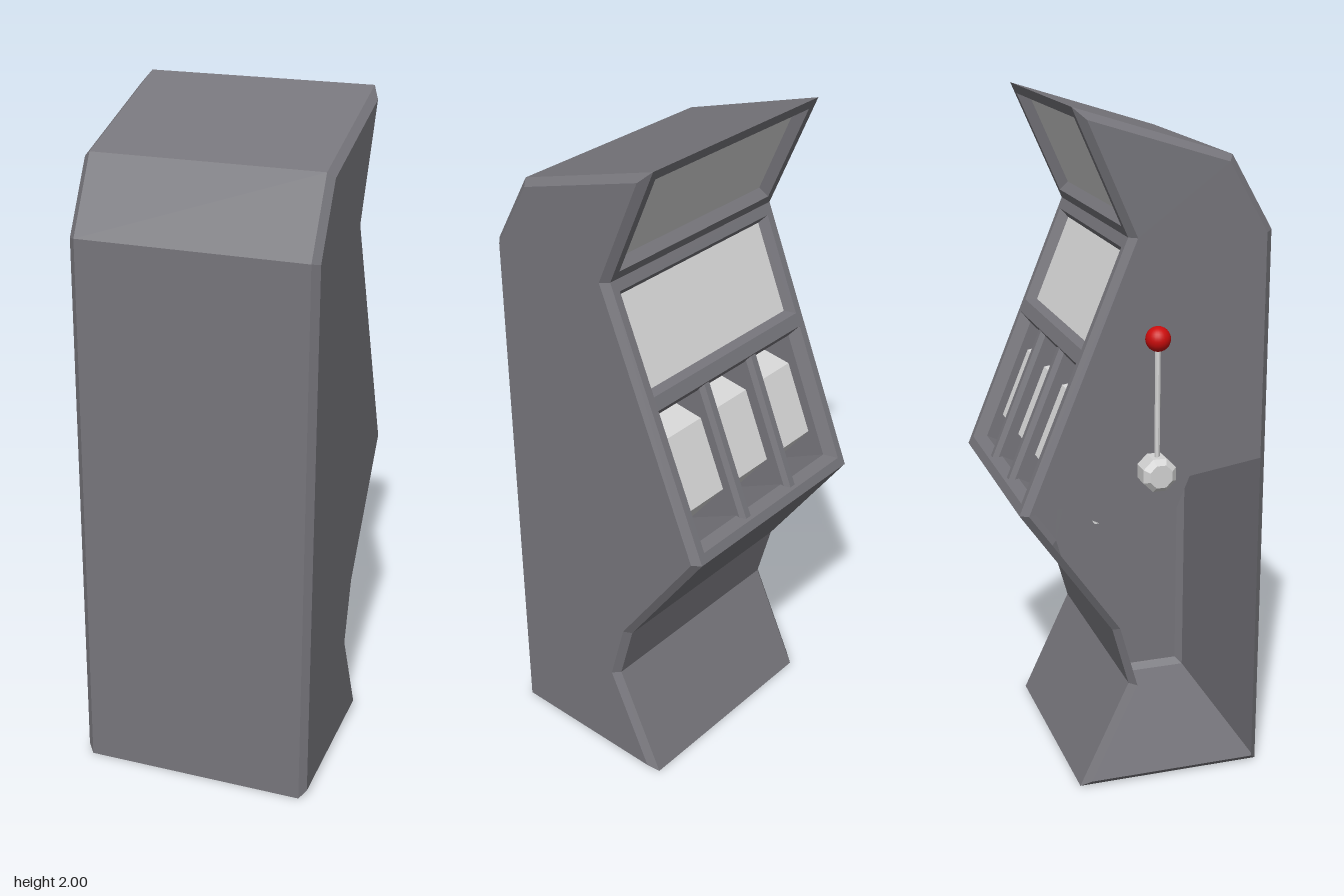
import * as THREE from 'three';

const body = new THREE.MeshStandardMaterial({ name: 'cabinet grey', color: 0x77767c, flatShading: true, side: THREE.DoubleSide });
const pale = new THREE.MeshStandardMaterial({ name: 'pale panel', color: 0xd9d9d9, flatShading: true });
const metal = new THREE.MeshStandardMaterial({ name: 'lever metal', color: 0xd4d4d4, flatShading: true });
const red = new THREE.MeshStandardMaterial({ name: 'knob red', color: 0xcc0c0c });

// Cabinet outline as [z, y], clockwise seen from +x
const P = [[0.365, 0], [0.365, 1.65], [0.245, 1.86], [-0.205, 2], [-0.05, 1.65],
  [-0.365, 0.885], [-0.095, 0.5], [-0.045, 0.32], [-0.195, 0]];
const X0 = -0.305, X1 = 0.4, BEVEL = 0.02, CX = (X0 + X1) / 2, HALF = (X1 - X0) / 2 - BEVEL;

function add(parent, name, geometry, material, x = 0, y = 0, z = 0) {
  const mesh = new THREE.Mesh(geometry, material);
  mesh.name = name;
  mesh.position.set(x, y, z);
  parent.add(mesh);
  return mesh;
}

function quads(list) {
  const pos = [];
  for (const [a, b, c, d] of list) pos.push(...a, ...b, ...c, ...a, ...c, ...d);
  const g = new THREE.BufferGeometry();
  g.setAttribute('position', new THREE.Float32BufferAttribute(pos, 3));
  g.computeVertexNormals();
  return g;
}

// Move every edge of a clockwise outline inward and mitre the corners
function inset(points, t) {
  const n = points.length;
  const normal = (a, b) => {
    const l = Math.hypot(b[0] - a[0], b[1] - a[1]);
    return [-(b[1] - a[1]) / l, (b[0] - a[0]) / l];
  };
  return points.map((p, i) => {
    const m = normal(points[(i + n - 1) % n], p), k = normal(p, points[(i + 1) % n]);
    const s = t / (1 + m[0] * k[0] + m[1] * k[1]);
    return [p[0] + (m[0] + k[0]) * s, p[1] + (m[1] + k[1]) * s];
  });
}

function sidePanel(parent, name, outline, x, sign) {
  const shape = new THREE.Shape(outline.map(([z, y]) => new THREE.Vector2(-sign * z, y)));
  add(parent, name, new THREE.ShapeGeometry(shape).rotateY(sign * Math.PI / 2), body, x);
}

// Group lying on a sloping face: local y runs up the face, local z points out of it
function faceGroup(parent, name, from, to) {
  const up = new THREE.Vector3(0, to[1] - from[1], to[0] - from[0]);
  const length = up.length();
  up.normalize();
  const side = new THREE.Vector3(-1, 0, 0);
  const g = new THREE.Group();
  g.name = name;
  g.quaternion.setFromRotationMatrix(new THREE.Matrix4().makeBasis(side, up, side.clone().cross(up)));
  g.position.set(CX, from[1], from[0]);
  parent.add(g);
  return { g, length };
}

const corners = ([u, v0, v1], w) => [[-u, v0, w], [u, v0, w], [u, v1, w], [-u, v1, w]];
const shrink = ([u, v0, v1], t) => [u - t, v0 + t, v1 - t];

// Inward-facing walls joining two rectangles at different depths
function walls(parent, name, r0, w0, r1, w1) {
  const a = corners(r0, w0), b = corners(r1, w1);
  add(parent, name, quads(a.map((p, i) => [p, a[(i + 1) % 4], b[(i + 1) % 4], b[i]])), body);
}

function frontFrame(parent, length, holes) {
  const outline = r => corners(r, 0).map(([x, y]) => new THREE.Vector2(x, y));
  const shape = new THREE.Shape(outline([HALF, 0, length]));
  for (const h of holes) shape.holes.push(new THREE.Path(outline(h).reverse()));
  add(parent, 'frame', new THREE.ShapeGeometry(shape), body);
}

function recessedPanel(parent, name, hole, depth) {
  const inner = shrink(hole, 0.015);
  walls(parent, name + 'Lip', hole, 0, inner, -depth);
  add(parent, name, quads([corners(inner, -depth)]), pale);
}

export function createModel() {
  const model = new THREE.Group();
  model.name = 'slotMachine';

  // Bevelled shell; the two framed faces are left open
  const Q = inset(P, BEVEL);
  const rings = [[X0, Q], [X0 + BEVEL, P], [X1 - BEVEL, P], [X1, Q]];
  const skin = [];
  for (let r = 0; r < 3; r++) {
    const [xa, A] = rings[r], [xb, B] = rings[r + 1];
    P.forEach((_, i) => {
      if (r === 1 && (i === 3 || i === 4)) return;
      const j = (i + 1) % P.length;
      const at = (x, p) => [x, p[1], p[0]];
      skin.push([at(xa, A[i]), at(xb, B[i]), at(xb, B[j]), at(xa, A[j])]);
    });
  }
  add(model, 'cabinetShell', quads(skin), body);

  // Side panels; the lower half on the lever side is open
  const seam = [Q[0][0], 0.99];
  sidePanel(model, 'leftSidePanel', Q, X1, 1);
  sidePanel(model, 'rightUpperSidePanel', [seam, ...Q.slice(1, 6)], X0, -1);

  // Sloping play face with reel window and screen
  const play = faceGroup(model, 'playFace', P[5], P[4]);
  const reelHole = [0.31, 0.03, 0.455], screenHole = [0.31, 0.495, 0.795];
  frontFrame(play.g, play.length, [reelHole, screenHole]);
  recessedPanel(play.g, 'screen', screenHole, 0.03);
  const chamber = shrink(reelHole, 0.02);
  walls(play.g, 'reelWindowLip', reelHole, 0, chamber, -0.035);
  const deep = [chamber[0], 0.015, 0.47];
  walls(play.g, 'reelChamberWalls', chamber, -0.035, deep, -0.46);
  add(play.g, 'reelChamberBack', quads([corners(deep, -0.46)]), body);

  // Six-sided reels
  for (const u of [-0.2, 0, 0.2]) {
    const reel = new THREE.CylinderGeometry(0.22, 0.22, 0.155, 6).rotateY(Math.PI / 6).rotateZ(Math.PI / 2);
    add(play.g, 'reel', reel, pale, u, 0.2425, -0.245);
  }

  // Chamfered dividers between the reels
  const section = new THREE.Shape([[-0.01, 0.01], [0.01, 0.01], [0.02, 0.025], [0.02, 0.45], [-0.02, 0.45], [-0.02, 0.025]]
    .map(p => new THREE.Vector2(...p)));
  for (const u of [-0.1025, 0.1025]) {
    const bar = new THREE.ExtrudeGeometry(section, { depth: 0.415, bevelEnabled: false }).rotateX(-Math.PI / 2);
    add(play.g, 'reelDivider', bar, body, u, 0.035, 0);
  }

  // Overhanging marquee
  const top = faceGroup(model, 'marquee', P[4], P[3]);
  const marqueeHole = [0.31, 0.03, 0.35];
  frontFrame(top.g, top.length, [marqueeHole]);
  recessedPanel(top.g, 'marqueePanel', marqueeHole, 0.03);

  // Pull lever
  const lever = new THREE.Group();
  lever.name = 'lever';
  lever.position.set(0, 1.002, 0.01);
  model.add(lever);
  const axial = (r0, r1, l) => new THREE.CylinderGeometry(r0, r1, l, 8).rotateY(Math.PI / 8).rotateZ(Math.PI / 2);
  add(lever, 'leverAxle', axial(0.025, 0.025, 0.04), metal, -0.32);
  add(lever, 'leverHub', axial(0.051, 0.051, 0.055), metal, -0.3625);
  add(lever, 'leverHubCap', axial(0.035, 0.051, 0.015), metal, -0.3975);
  add(lever, 'leverRod', new THREE.CylinderGeometry(0.008, 0.008, 0.34, 8), metal, -0.365, 0.2);
  add(lever, 'leverKnob', new THREE.SphereGeometry(0.035, 24, 16), red, -0.365, 0.383);

  return model;
}
